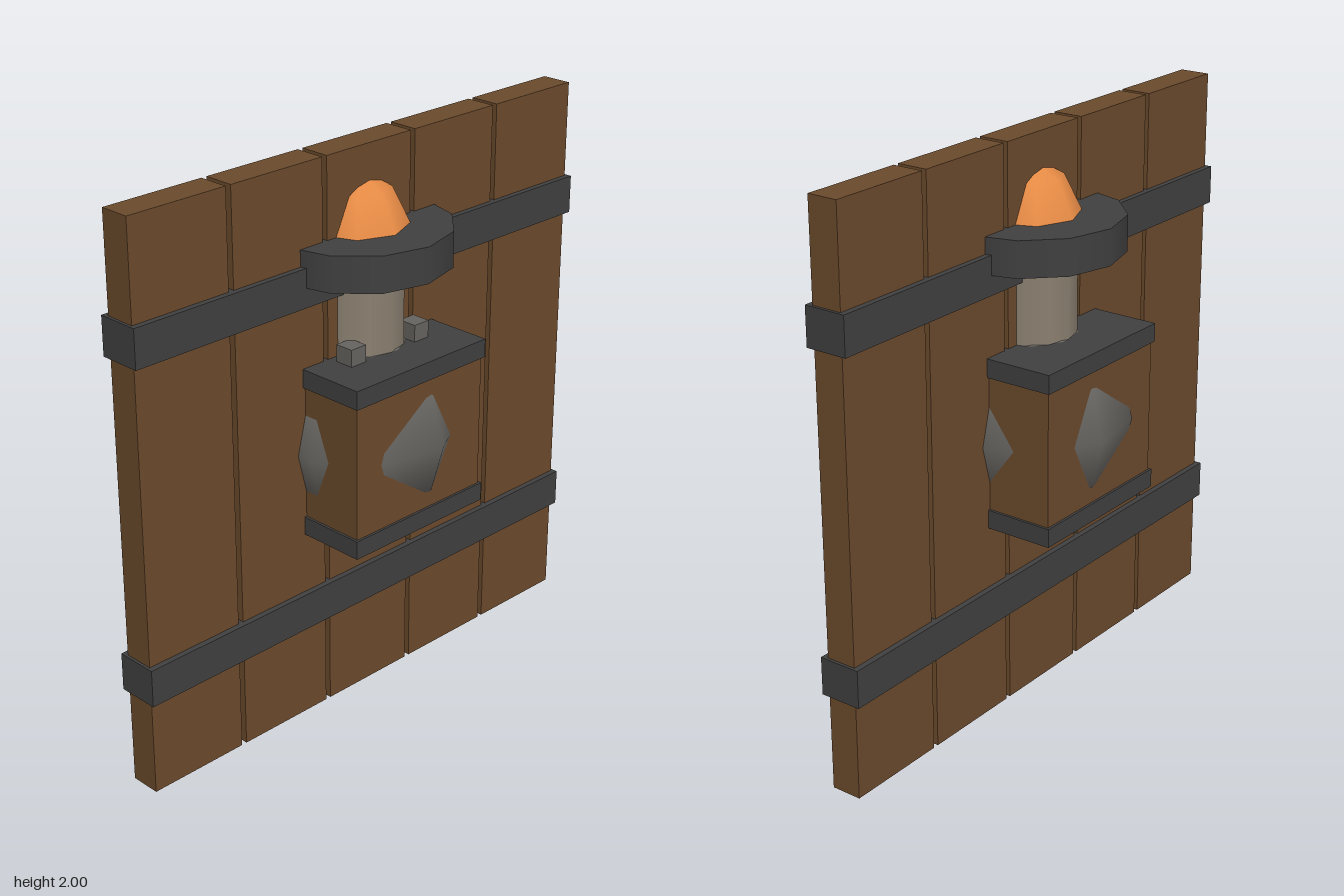
import * as THREE from 'three';

function material(name, color) {
  const m = new THREE.MeshStandardMaterial({ color });
  m.name = name;
  return m;
}

export function createModel() {
  const group = new THREE.Group();
  const wood = material('wood', 0x6b4a2c);
  const iron = material('dark iron', 0x404040);
  const steel = material('grey steel', 0x666460);
  const stone = material('pale stone', 0x8b8071);
  const flame = material('orange glow', 0xe58a45);

  function add(name, geometry, mat, x, y, z) {
    const mesh = new THREE.Mesh(geometry, mat);
    mesh.name = name;
    mesh.position.set(x, y, z);
    group.add(mesh);
    return mesh;
  }
  // Box given by its size and the height of its underside
  const box = (name, w, h, d, mat, x, bottom, z) =>
    add(name, new THREE.BoxGeometry(w, h, d), mat, x, bottom + h / 2, z);

  // Plank wall
  for (let i = -2; i <= 2; i++) box('plank', 0.38, 2, 0.11, wood, i * 0.4, 0, 0);

  // Iron bands around the planks
  for (const y of [0.345, 1.525]) box('band', 2, 0.135, 0.152, iron, 0, y, 0);

  // Central wooden housing with iron plates above and below
  box('housing', 0.588, 0.56, 0.588, wood, 0, 0.72, 0);
  for (const y of [0.7, 1.24]) box('housingPlate', 0.606, 0.066, 0.606, iron, 0, y, 0);

  // Faceted ball bulging through the housing
  const ball = add('ball', new THREE.SphereGeometry(0.35, 9, 6), steel, 0, 1, 0);
  ball.rotation.y = Math.PI;

  // Column, collar and glowing tip
  add('column', new THREE.CylinderGeometry(0.16, 0.16, 0.36, 12), stone, 0, 1.46, 0);
  add('collar', new THREE.CylinderGeometry(0.323, 0.323, 0.126, 12), iron, 0, 1.655, 0);
  const profile = [[0, 1.66], [0.198, 1.66], [0.172, 1.72], [0.114, 1.842], [0, 1.905]];
  add('glowingTip', new THREE.LatheGeometry(
    profile.map(([r, y]) => new THREE.Vector2(r, y)), 8), flame, 0, 0, 0);

  // Bolts on the front of the upper plate
  for (const s of [-1, 1]) box('bolt', 0.066, 0.066, 0.07, steel, s * 0.148, 1.3, 0.12);

  return group;
}
